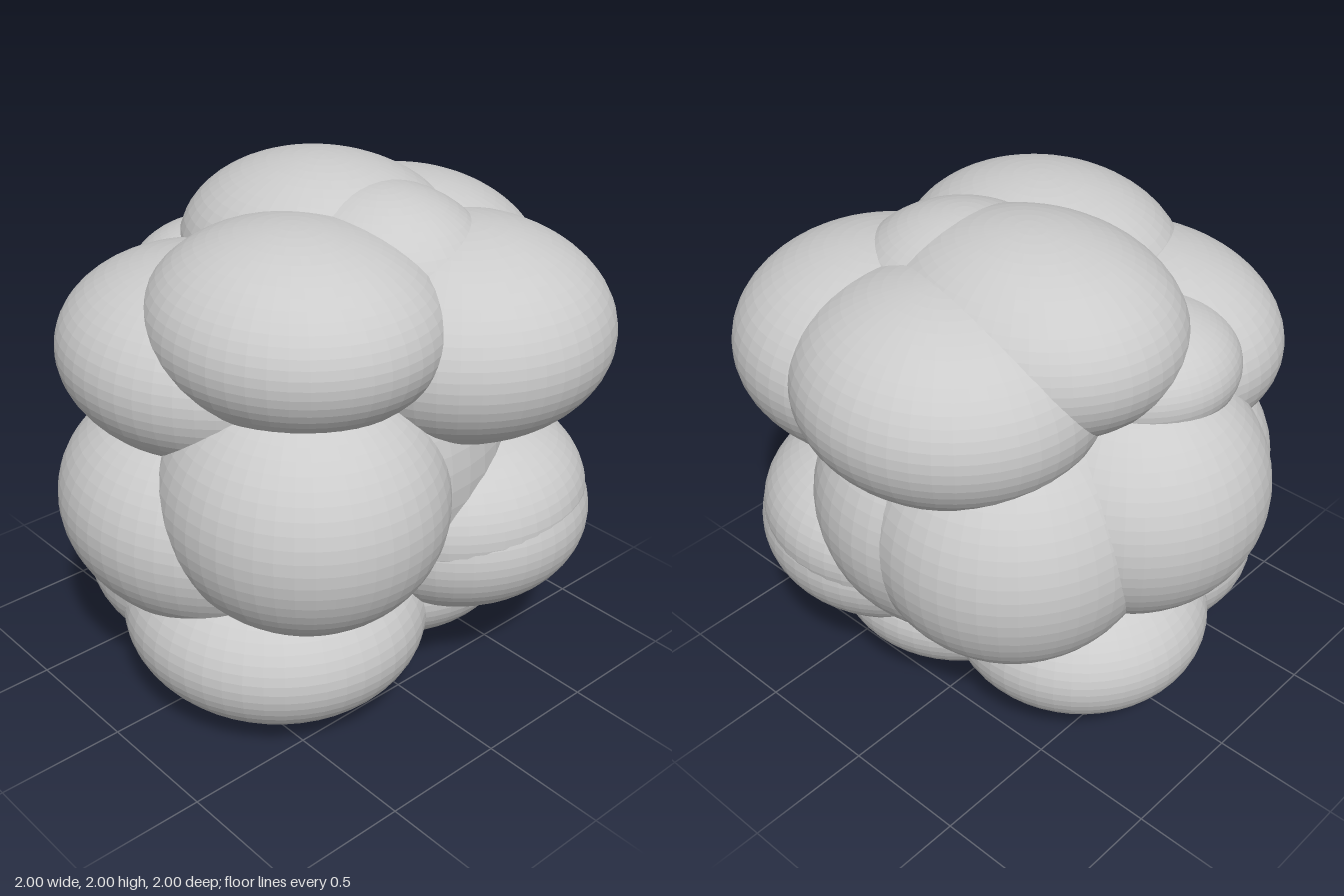
import * as THREE from 'three';

// Each lobe: name, centre, radii
const LOBES = [
  // upper ring
  ['upperFrontLobe', [-0.15, 1.38, 0.40], [0.60, 0.37, 0.53]],
  ['topFrontLobe', [0.22, 1.58, 0.29], [0.57, 0.35, 0.52]],
  ['topLobe', [-0.12, 1.64, -0.14], [0.59, 0.36, 0.51]],
  ['topLeftLobe', [0.18, 1.62, -0.15], [0.46, 0.34, 0.42]],
  ['upperBackLobe', [-0.02, 1.50, -0.45], [0.58, 0.39, 0.55]],
  ['upperLeftBackLobe', [0.405, 1.45, -0.33], [0.59, 0.40, 0.585]],
  ['upperSideBump', [-0.44, 1.49, 0.10], [0.35, 0.23, 0.36]],
  // middle ring
  ['middleFrontLobe', [-0.10, 0.80, 0.455], [0.61, 0.45, 0.545]],
  ['middleLeftFrontLobe', [0.35, 0.97, 0.37], [0.55, 0.49, 0.52]],
  ['middleRightLobe', [-0.45, 1.04, 0.01], [0.55, 0.50, 0.52]],
  ['middleRightBackLobe', [-0.23, 0.95, -0.36], [0.55, 0.54, 0.55]],
  ['middleBackLobe', [0.04, 0.93, -0.36], [0.55, 0.53, 0.55]],
  ['middleLeftBackLobe', [0.39, 0.67, -0.38], [0.53, 0.37, 0.53]],
  ['middleLeftBackShoulder', [0.37, 0.75, -0.37], [0.53, 0.35, 0.54]],
  // lower ring
  ['lowerFrontLobe', [0.14, 0.375, 0.33], [0.60, 0.375, 0.575]],
  ['lowerRightFrontLobe', [-0.20, 0.46, 0.34], [0.54, 0.35, 0.50]],
  ['lowerRightLobe', [-0.35, 0.42, -0.12], [0.51, 0.33, 0.50]],
  ['lowerBackLobe', [0.17, 0.43, -0.25], [0.50, 0.31, 0.49]],
  // filling behind the seams
  ['core', [0, 1, 0], [0.74, 0.74, 0.74]],
];

export function createModel() {
  const model = new THREE.Group();
  model.name = 'lobedCluster';
  const material = new THREE.MeshStandardMaterial({ color: 0xcccccc, flatShading: true });
  const sphere = new THREE.SphereGeometry(1, 48, 32);

  for (const [name, centre, radii] of LOBES) {
    const lobe = new THREE.Mesh(sphere, material);
    lobe.name = name;
    lobe.position.set(...centre);
    lobe.scale.set(...radii);
    model.add(lobe);
  }
  return model;
}
